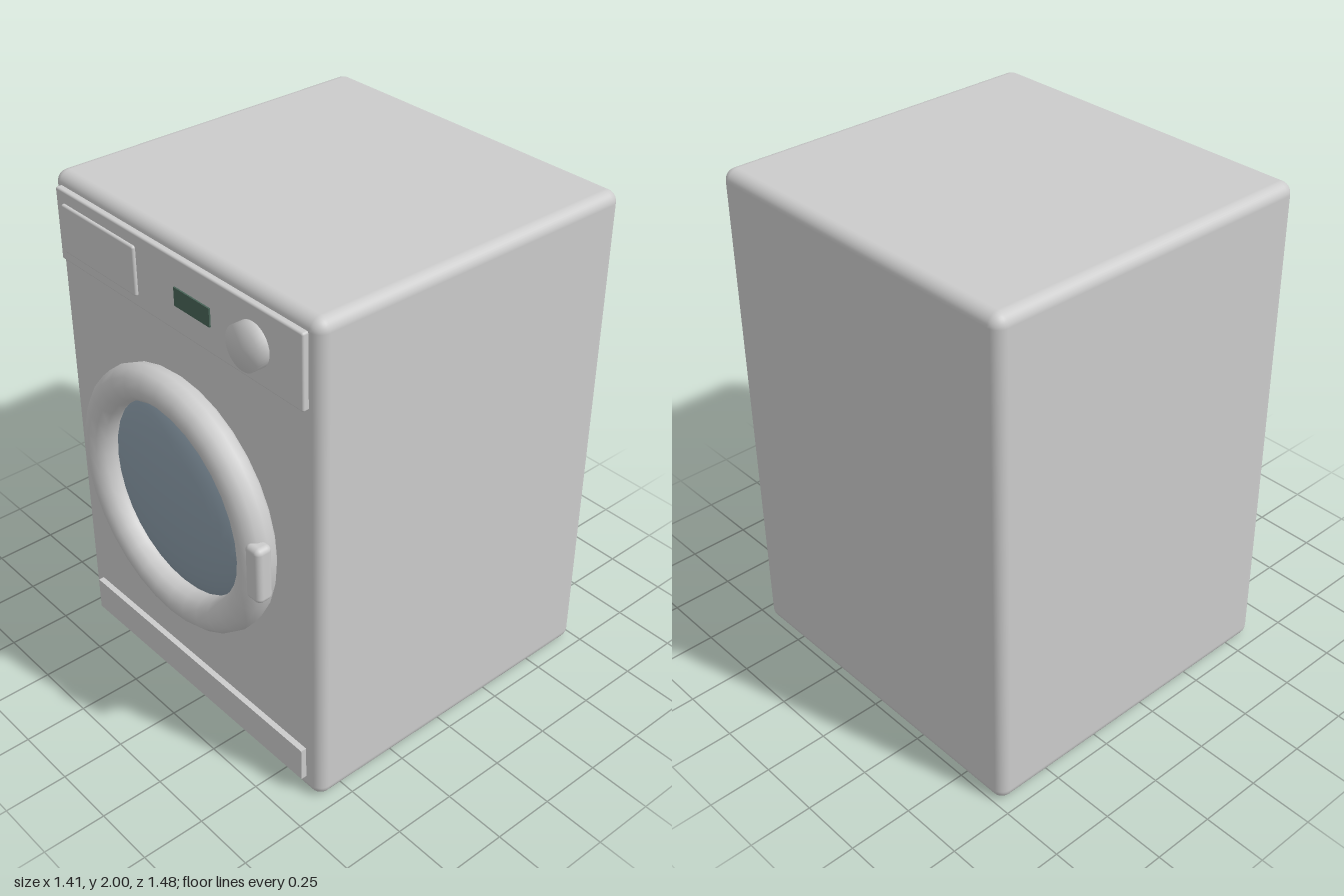
import * as THREE from 'three';
import { RoundedBoxGeometry } from 'three/addons/geometries/RoundedBoxGeometry.js';

const grey = new THREE.MeshStandardMaterial({ color: 0xcccccc });
const glassBlue = new THREE.MeshStandardMaterial({ color: 0x8a9ba8 });
const displayGreen = new THREE.MeshStandardMaterial({ color: 0x486357 });

export function createModel() {
  const group = new THREE.Group();
  group.name = 'washingMachine';

  const add = (name, geometry, x, y, z, material = grey) => {
    const mesh = new THREE.Mesh(geometry, material);
    mesh.name = name;
    mesh.position.set(x, y, z);
    group.add(mesh);
    return mesh;
  };

  // Box given by its extents; a radius rounds the edges
  const addBox = (name, [x0, x1], [y0, y1], [z0, z1], radius = 0, material = grey) => {
    const size = [x1 - x0, y1 - y0, z1 - z0];
    const geometry = radius
      ? new RoundedBoxGeometry(...size, 4, radius)
      : new THREE.BoxGeometry(...size);
    return add(name, geometry, (x0 + x1) / 2, (y0 + y1) / 2, (z0 + z1) / 2, material);
  };

  // Cabinet
  addBox('cabinet', [-0.705, 0.705], [0, 2], [-0.74, 0.62], 0.045);

  // Control panel with drawer and display
  addBox('controlPanel', [-0.657, 0.657], [1.677, 1.957], [0.61, 0.643], 0.008);
  addBox('detergentDrawer', [-0.613, -0.19], [1.722, 1.91], [0.625, 0.655], 0.008);
  addBox('display', [0.022, 0.208], [1.78, 1.849], [0.63, 0.649], 0, displayGreen);

  // Dial, softly shaded over its rim
  const dialProfile = [[0.081, 0], [0.081, 0.05], [0, 0.05]].map(p => new THREE.Vector2(...p));
  add('programDial', new THREE.LatheGeometry(dialProfile, 32), 0.421, 1.816, 0.638)
    .rotation.x = Math.PI / 2;

  // Door ring, domed glass and handle
  const doorY = 0.993;
  add('doorRing', new THREE.TorusGeometry(0.447, 0.069, 12, 32), 0, doorY, 0.671);
  const dome = new THREE.SphereGeometry(0.4, 32, 12, 0, Math.PI * 2, 0, Math.PI / 2);
  dome.rotateX(Math.PI / 2);
  dome.scale(1, 1, 0.25);
  add('doorGlass', dome, 0, doorY, 0.625, glassBlue);
  addBox('doorHandle', [0.458, 0.534], [0.877, 1.107], [0.67, 0.738], 0.022);

  // Kick plate
  addBox('kickPlate', [-0.633, 0.633], [0.071, 0.211], [0.61, 0.643]);

  return group;
}
